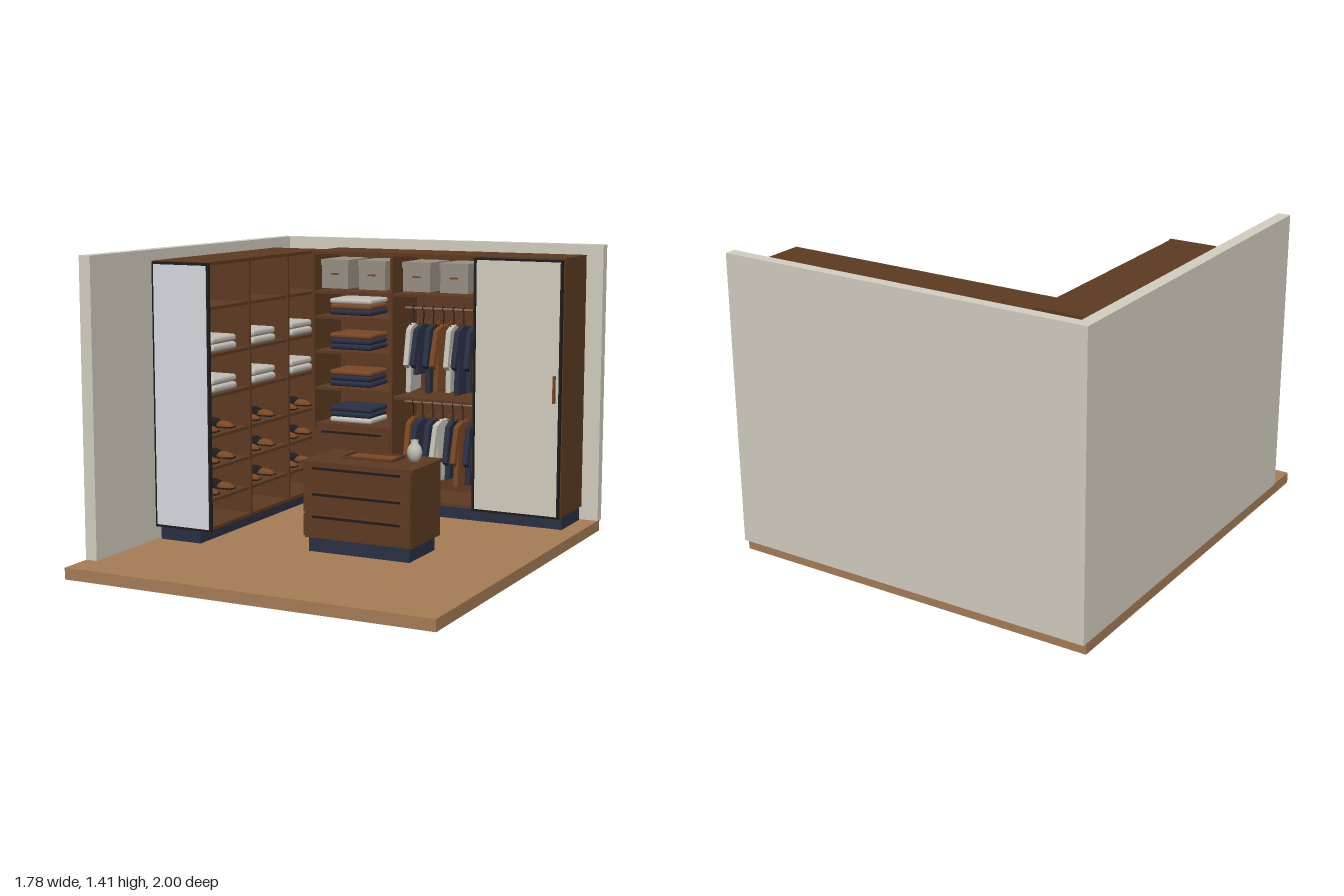
import * as THREE from 'three';
import { RoundedBoxGeometry } from 'three/addons/geometries/RoundedBoxGeometry.js';

const mat = (name, color) => Object.assign(new THREE.MeshStandardMaterial({ color }), { name });

export function createModel() {
  const root = new THREE.Group();
  root.name = 'walkInCloset';
  const wood = mat('walnut', 0x5e3a22);
  const oak = mat('oakFloor', 0xa67c55);
  const plaster = mat('plaster', 0xd3cec0);
  const black = mat('blackMetal', 0x1e1c1c);
  const navy = mat('navy', 0x2a3044);
  const glass = mat('mirrorGlass', 0xd6dae0);
  const linen = mat('linen', 0xc2beb4);
  const boxGrey = mat('boxGrey', 0x989084);
  const tan = mat('tanLeather', 0x7a4824);
  const rodMetal = mat('rodMetal', 0x8a6a50);

  const add = (name, geo, m, parent = root) => {
    const mesh = new THREE.Mesh(geo, m);
    mesh.name = name;
    parent.add(mesh);
    return mesh;
  };
  const group = (name) => {
    const g = new THREE.Group();
    g.name = name;
    root.add(g);
    return g;
  };
  // box given by its limits on each axis
  const box = (name, m, x0, x1, y0, y1, z0, z1, parent = root) => {
    const mesh = add(name, new THREE.BoxGeometry(x1 - x0, y1 - y0, z1 - z0), m, parent);
    mesh.position.set((x0 + x1) / 2, (y0 + y1) / 2, (z0 + z1) / 2);
    return mesh;
  };
  const T = 0.014;

  // room shell
  box('floor', oak, -0.89, 0.89, 0, 0.053, -0.975, 1);
  box('backWall', plaster, -0.893, 0.89, 0.053, 1.41, -1, -0.947);
  box('sideWall', plaster, -0.893, -0.835, 0.053, 1.41, -0.947, 0.838);

  // folded pile of clothes; colours run bottom to top
  const pile = (x, y, z, w, d, h, colours) => {
    const g = group('foldedClothes');
    colours.forEach((m, i) => {
      const s = 1 - 0.02 * (i % 2);
      const fold = add('foldedGarment', new RoundedBoxGeometry(w * s, h * 0.96, d * s, 2, h * 0.42), m, g);
      fold.position.y = h * (i + 0.5);
    });
    g.position.set(x, y, z);
  };

  // side unit: carcass open towards +x
  const side = group('sideUnit');
  box('sidePlinth', navy, -0.815, -0.6, 0.053, 0.12, -0.76, 0.345, side);
  box('sideBack', wood, -0.834, -0.82, 0.12, 1.36, -0.786, 0.352, side);
  box('sideTop', wood, -0.82, -0.537, 1.345, 1.36, -0.786, 0.352, side);
  box('sideBottom', wood, -0.82, -0.537, 0.12, 0.135, -0.786, 0.352, side);
  const bays = [0.345, -0.022, -0.397, -0.779];
  for (const z of bays) box('sideDivider', wood, -0.82, -0.538, 0.135, 1.345, z - T / 2, z + T / 2, side);
  const sideShelves = [0.257, 0.405, 0.552, 0.74, 0.93, 1.147];
  for (const y of sideShelves) box('sideShelf', wood, -0.82, -0.545, y - T / 2, y + T / 2, -0.779, 0.345, side);

  // mirror on the front end of the side unit
  box('mirrorFrame', black, -0.833, -0.527, 0.115, 1.357, 0.352, 0.364, side);
  box('mirror', glass, -0.823, -0.541, 0.127, 1.345, 0.36, 0.367, side);

  // shoes and folded piles in the side unit
  const dome = new THREE.SphereGeometry(1, 16, 8, 0, Math.PI * 2, 0, Math.PI / 2);
  const shoe = (y, z) => {
    const g = group('shoe');
    box('shoeSole', black, -0.07, 0.07, 0, 0.007, -0.025, 0.025, g);
    const toe = add('shoeToe', dome, tan, g);
    toe.scale.set(0.055, 0.026, 0.026);
    toe.position.set(0.02, 0.006, 0);
    const heel = add('shoeHeel', dome, black, g);
    heel.scale.set(0.045, 0.038, 0.025);
    heel.position.set(-0.03, 0.006, 0);
    g.position.set(-0.635, y, z);
  };
  for (let i = 0; i < 3; i++) {
    const z = (bays[i] + bays[i + 1]) / 2;
    for (const y of [0.74, 0.93]) pile(-0.66, y + T / 2, z, 0.19, 0.22, 0.036, [linen, linen]);
    for (const y of [0.257, 0.405, 0.552]) for (const s of [-1, 1]) shoe(y + T / 2 + 0.005, z - 0.035 * (i === 0 ? -0.4 : 0) + s * 0.072);
  }

  // back wardrobe carcass
  const back = group('backWardrobe');
  box('backPlinth', navy, -0.525, 0.8, 0.053, 0.12, -0.93, -0.68, back);
  box('wardrobeBack', wood, -0.537, 0.807, 0.12, 1.36, -0.942, -0.928, back);
  box('wardrobeTop', wood, -0.537, 0.807, 1.345, 1.36, -0.928, -0.638, back);
  box('wardrobeBottom', wood, -0.537, 0.807, 0.12, 0.135, -0.928, -0.638, back);
  for (const x of [-0.53, -0.093, 0.352, 0.8]) box('wardrobeDivider', wood, x - T / 2, x + T / 2, 0.135, 1.345, -0.928, -0.638, back);
  const leftShelves = [0.477, 0.663, 0.85, 1.025, 1.153];
  for (const y of leftShelves) box('leftBayShelf', wood, -0.523, -0.1, y - T / 2, y + T / 2, -0.928, -0.645, back);
  for (const y of [0.64, 1.153]) box('middleBayShelf', wood, -0.086, 0.345, y - T / 2, y + T / 2, -0.928, -0.645, back);

  // three drawer fronts with bar handles
  const drawers = (x0, x1, z, parent) => {
    for (const [y0, y1] of [[0.13, 0.232], [0.24, 0.335], [0.343, 0.455]]) {
      box('drawerFront', wood, x0, x1, y0, y1, z - 0.014, z, parent);
      box('drawerHandle', black, x0 + 0.05, x1 - 0.05, y1 - 0.014, y1 - 0.005, z, z + 0.012, parent);
    }
  };
  drawers(-0.525, -0.097, -0.63, back);
  box('drawerCase', wood, -0.523, -0.1, 0.135, 0.47, -0.928, -0.65, back);

  // folded piles in the left bay
  const piles = [[navy, navy, tan], [navy, navy, tan], [navy, tan, linen]];
  [[linen, navy, navy], ...piles].forEach((c, i) => pile(-0.333, leftShelves[i] + T / 2 + 0.007, -0.76, 0.235, 0.2, 0.028, c));

  // storage boxes on the top shelf
  for (const x of [-0.42, -0.213, 0.031, 0.231]) {
    const g = group('storageBox');
    box('boxBody', boxGrey, -0.073, 0.073, 0, 0.13, -0.11, 0.11, g);
    box('boxLid', boxGrey, -0.077, 0.077, 0.115, 0.145, -0.114, 0.114, g);
    box('boxHandle', tan, -0.02, 0.02, 0.069, 0.077, 0.11, 0.117, g);
    g.position.set(x, 1.172, -0.775);
  }

  // hanging clothes in the middle bay
  const garmentGeo = (L) => {
    const half = [[0.025, 0], [0.08, -0.022], [0.122, -0.19], [0.096, -0.205], [0.072, -0.1], [0.08, -L]];
    const pts = [...half, ...half.map(([u, v]) => [-u, v]).reverse()];
    const shape = new THREE.Shape(pts.map(([u, v]) => new THREE.Vector2(u, v)));
    const geo = new THREE.ExtrudeGeometry(shape, { depth: 0.014, bevelThickness: 0.006, bevelSize: 0.005, bevelSegments: 2 });
    return geo.translate(0, 0, -0.007).rotateY(Math.PI / 2);
  };
  const rack = (rodY, colours, lengths) => {
    const g = group('clothesRack');
    const rod = add('rod', new THREE.CylinderGeometry(0.006, 0.006, 0.43, 12), rodMetal, g);
    rod.rotation.z = Math.PI / 2;
    rod.position.set(0.13, rodY, -0.785);
    colours.forEach((m, i) => {
      const h = new THREE.Group();
      h.name = 'hangingGarment';
      const hook = add('hangerHook', new THREE.TorusGeometry(0.012, 0.0025, 6, 14, Math.PI * 1.3), black, h);
      hook.rotation.y = Math.PI / 2;
      const stem = add('hangerStem', new THREE.CylinderGeometry(0.0025, 0.0025, 0.07, 6), black, h);
      stem.position.y = -0.045;
      for (const s of [-1, 1]) {
        const arm = add('hangerArm', new THREE.CylinderGeometry(0.003, 0.003, 0.09, 6), tan, h);
        arm.rotation.x = s * 1.25;
        arm.position.set(0, -0.078, s * 0.043);
      }
      add('garment', garmentGeo(lengths[i]), m, h).position.y = -0.08;
      h.position.set(-0.038 + i * 0.0545, rodY, -0.785);
      h.rotation.y = [0.1, -0.08, 0.05, -0.1, 0.08, -0.04, 0.07][i];
      g.add(h);
    });
  };
  rack(1.08, [linen, navy, navy, tan, linen, navy, navy], [0.33, 0.24, 0.33, 0.32, 0.32, 0.33, 0.31]);
  rack(0.605, [tan, navy, navy, linen, navy, tan, navy], [0.3, 0.28, 0.31, 0.3, 0.28, 0.31, 0.3]);

  // sliding door with black frame and pull
  const door = group('slidingDoor');
  box('doorPanel', plaster, 0.362, 0.797, 0.125, 1.342, -0.634, -0.624, door);
  for (const x of [0.355, 0.792]) box('doorStile', black, x, x + 0.011, 0.115, 1.352, -0.636, -0.618, door);
  for (const y of [0.115, 1.342]) box('doorRail', black, 0.355, 0.803, y, y + 0.01, -0.636, -0.618, door);
  box('doorHandle', tan, 0.766, 0.776, 0.675, 0.805, -0.624, -0.606, door);

  // island drawer chest
  const island = group('island');
  box('islandPlinth', navy, -0.085, 0.42, 0.053, 0.12, -0.035, 0.24, island);
  box('islandBody', wood, -0.098, 0.437, 0.12, 0.463, -0.056, 0.254, island);
  box('islandTop', wood, -0.108, 0.447, 0.463, 0.476, -0.066, 0.272, island);
  drawers(-0.098, 0.435, 0.266, island);
  // tray with a raised rim
  box('tray', tan, 0.043, 0.293, 0.476, 0.482, 0.01, 0.162, island);
  for (const x of [0.043, 0.287]) box('trayRim', wood, x, x + 0.006, 0.476, 0.492, 0.01, 0.162, island);
  for (const z of [0.01, 0.156]) box('trayRim', wood, 0.043, 0.293, 0.476, 0.492, z, z + 0.006, island);
  // vase
  const profile = [[0, 0], [0.02, 0], [0.031, 0.02], [0.035, 0.042], [0.029, 0.066], [0.016, 0.084], [0.018, 0.097], [0.014, 0.097], [0.012, 0.082], [0, 0.06]];
  const vase = add('vase', new THREE.LatheGeometry(profile.map(([r, y]) => new THREE.Vector2(r, y)), 28), linen, island);
  vase.position.set(0.358, 0.476, 0.056);

  return root;
}
